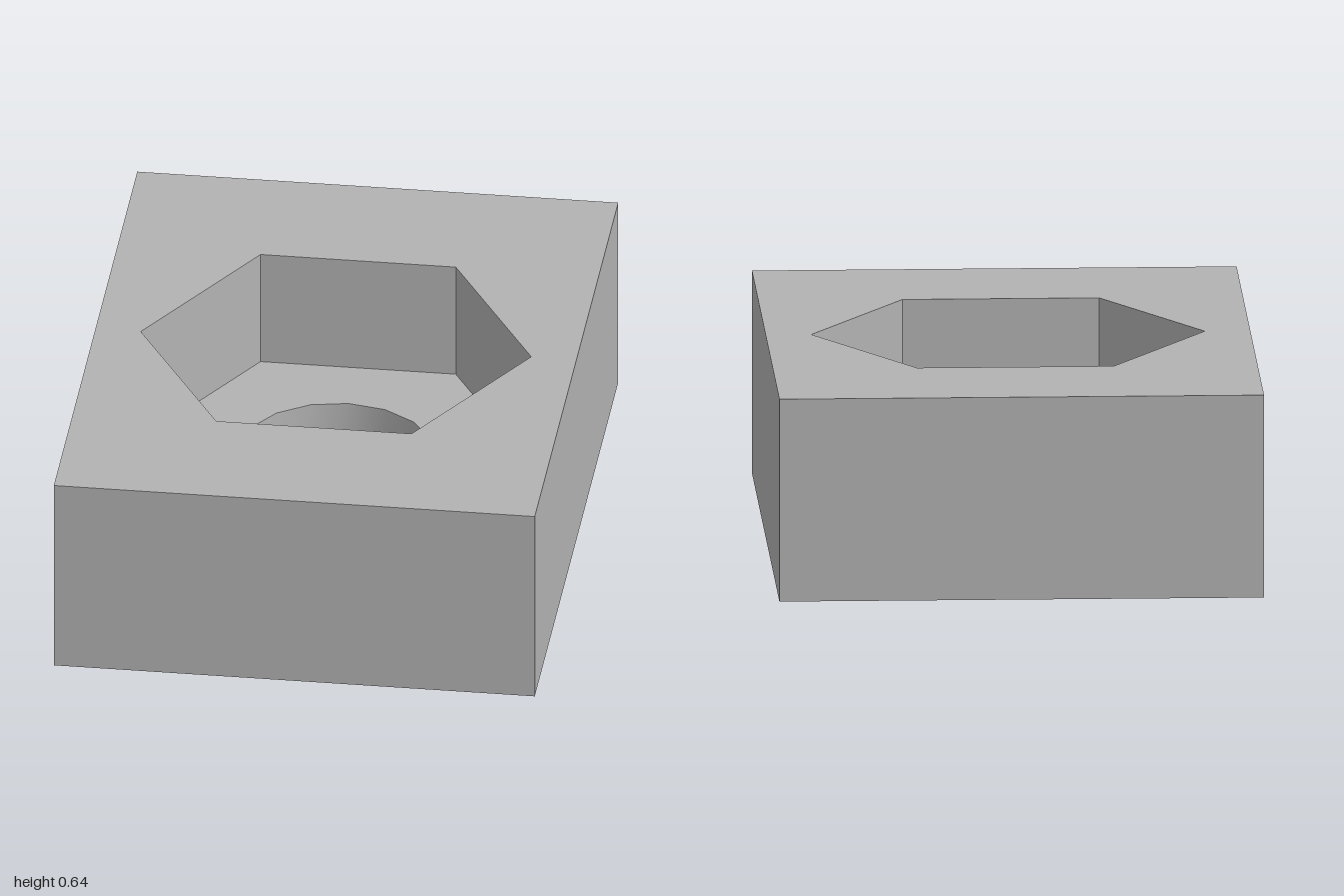
import * as THREE from 'three';
import { mergeGeometries, toCreasedNormals } from 'three/addons/utils/BufferGeometryUtils.js';

const HALF_X = 0.755, HALF_Z = 1, HEIGHT = 0.643, FLOOR = 0.26;
const HEX_RADIUS = 0.613, BORE_RADIUS = 0.304;

// Regular polygon outline, first corner on +x
const polygon = (radius, sides) => Array.from({ length: sides }, (_, i) => {
  const a = (i / sides) * Math.PI * 2;
  return new THREE.Vector2(radius * Math.cos(a), radius * Math.sin(a));
});

// Flat horizontal face with a hole, facing up or down
function face(outline, hole, y, up) {
  const shape = new THREE.Shape(outline);
  shape.holes.push(new THREE.Path(hole));
  const g = new THREE.ShapeGeometry(shape);
  g.rotateX(up ? -Math.PI / 2 : Math.PI / 2);
  g.translate(0, y, 0);
  return g.toNonIndexed().deleteAttribute('uv');
}

// Vertical walls along an outline, facing outwards or inwards
function walls(outline, y0, y1, outward) {
  const pos = [];
  outline.forEach((p, i) => {
    const q = outline[(i + 1) % outline.length];
    const [a, b] = outward ? [p, q] : [q, p];
    pos.push(a.x, y0, -a.y, b.x, y0, -b.y, b.x, y1, -b.y);
    pos.push(a.x, y0, -a.y, b.x, y1, -b.y, a.x, y1, -a.y);
  });
  const g = new THREE.BufferGeometry();
  g.setAttribute('position', new THREE.Float32BufferAttribute(pos, 3));
  g.computeVertexNormals();
  return g;
}

export function createModel() {
  const group = new THREE.Group();
  group.name = 'nutHolderBlock';
  const grey = new THREE.MeshStandardMaterial({ color: 0xb2b2b2 });
  grey.name = 'grey';

  const block = [[-1, -1], [1, -1], [1, 1], [-1, 1]]
    .map(([x, z]) => new THREE.Vector2(x * HALF_X, z * HALF_Z));
  const hex = polygon(HEX_RADIUS, 6);
  const bore = polygon(BORE_RADIUS, 16);

  const add = (name, geometry) => {
    const mesh = new THREE.Mesh(geometry, grey);
    mesh.name = name;
    group.add(mesh);
  };

  // Outer block: sides, top with the hexagonal opening, bottom with the round one
  add('block', mergeGeometries([
    walls(block, 0, HEIGHT, true),
    face(block, hex, HEIGHT, true),
    face(block, bore, 0, false),
  ]));

  // Hexagonal nut pocket with its floor
  add('hexPocket', mergeGeometries([
    walls(hex, FLOOR, HEIGHT, false),
    face(hex, bore, FLOOR, true),
  ]));

  // Smooth round through-hole
  add('boltHole', toCreasedNormals(walls(bore, 0, FLOOR, false), Math.PI / 6));

  return group;
}
